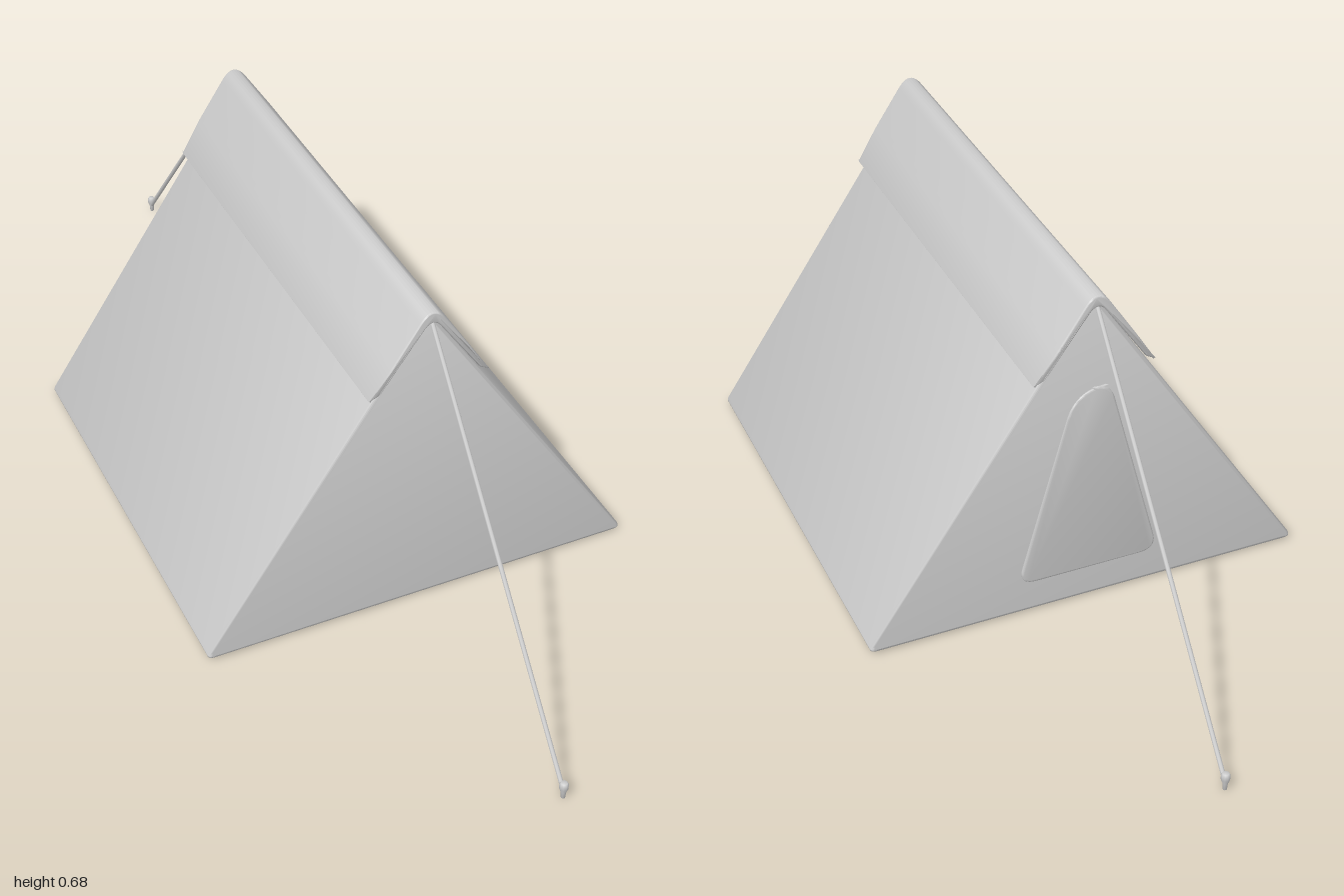
import * as THREE from 'three';
import { mergeVertices, toCreasedNormals } from 'three/addons/utils/BufferGeometryUtils.js';

const material = new THREE.MeshStandardMaterial({ color: 0xcccccc });

// Closed shape through [x, y, cornerRadius] points with softened corners
function roundedShape(points) {
  const shape = new THREE.Shape();
  const n = points.length;
  points.forEach(([x, y, r], i) => {
    const p = new THREE.Vector2(x, y);
    const towards = (q) => new THREE.Vector2(q[0], q[1]).sub(p).normalize().multiplyScalar(r).add(p);
    const a = towards(points[(i + n - 1) % n]);
    const b = towards(points[(i + 1) % n]);
    if (i === 0) shape.moveTo(a.x, a.y);
    else shape.lineTo(a.x, a.y);
    shape.quadraticCurveTo(x, y, b.x, b.y);
  });
  shape.closePath();
  return shape;
}

// Bevelled extrusion centred on z = 0, the outline keeping its full size
function extrude(shape, length, bevel, segments = 4) {
  const geometry = new THREE.ExtrudeGeometry(shape, {
    depth: length - 2 * bevel, bevelEnabled: true, bevelSize: bevel, bevelThickness: bevel,
    bevelOffset: -bevel, bevelSegments: segments, curveSegments: 10,
  });
  geometry.translate(0, 0, bevel - length / 2);
  return geometry;
}

function smooth(geometry) {
  geometry.deleteAttribute('uv');
  geometry.deleteAttribute('normal');
  return toCreasedNormals(mergeVertices(geometry, 1e-5), 0.75);
}

function addMesh(parent, name, geometry) {
  const mesh = new THREE.Mesh(geometry, material);
  mesh.name = name;
  parent.add(mesh);
  return mesh;
}

export function createModel() {
  const tent = new THREE.Group();
  tent.name = 'tent';

  // Body: soft-edged triangular prism
  const bodyShape = roundedShape([[-0.443, 0.003, 0.02], [0.443, 0.003, 0.02], [0, 0.672, 0.03]]);
  addMesh(tent, 'body', smooth(extrude(bodyShape, 0.875, 0.007)));

  // Ridge cover: folded sheet with slightly flared, rounded flaps
  const coverShape = roundedShape([
    [0, 0.697, 0.045], [-0.075, 0.583, 0.01], [-0.12, 0.512, 0.005], [-0.099, 0.525, 0.005],
    [0, 0.668, 0.03], [0.099, 0.525, 0.005], [0.12, 0.512, 0.005], [0.075, 0.583, 0.01],
  ]);
  const cover = extrude(coverShape, 0.9, 0.003, 3);
  const pos = cover.attributes.position;
  for (let i = 0; i < pos.count; i++) {
    const drop = THREE.MathUtils.clamp((0.55 - pos.getY(i)) / 0.038, 0, 1);
    pos.setZ(i, pos.getZ(i) * (1 - 0.016 * drop * drop));
  }
  addMesh(tent, 'ridgeCover', smooth(cover));

  // Door: shallow raised panel on the back gable
  const doorShape = roundedShape([[-0.145, 0.07, 0.04], [0.145, 0.07, 0.04], [0.035, 0.48, 0.06], [-0.035, 0.48, 0.035]]);
  const door = addMesh(tent, 'door', smooth(extrude(doorShape, 0.01, 0.004, 3)));
  door.position.z = -0.4355;

  // Guy ropes and pegs at both ends
  for (const side of [1, -1]) {
    const end = new THREE.Group();
    end.name = side > 0 ? 'frontGuyLine' : 'backGuyLine';
    const path = new THREE.LineCurve3(new THREE.Vector3(0, 0.664, 0.438), new THREE.Vector3(0, 0.016, 0.991));
    addMesh(end, 'rope', new THREE.TubeGeometry(path, 1, 0.0045, 8));
    const pegProfile = [[0, 0], [0.004, 0], [0.005, 0.014], [0.0085, 0.024], [0.0085, 0.032], [0.006, 0.036], [0, 0.036]];
    const peg = addMesh(end, 'peg', new THREE.LatheGeometry(pegProfile.map(([x, y]) => new THREE.Vector2(x, y)), 10));
    peg.position.z = 0.9915;
    end.rotation.y = side > 0 ? 0 : Math.PI;
    tent.add(end);
  }
  return tent;
}
